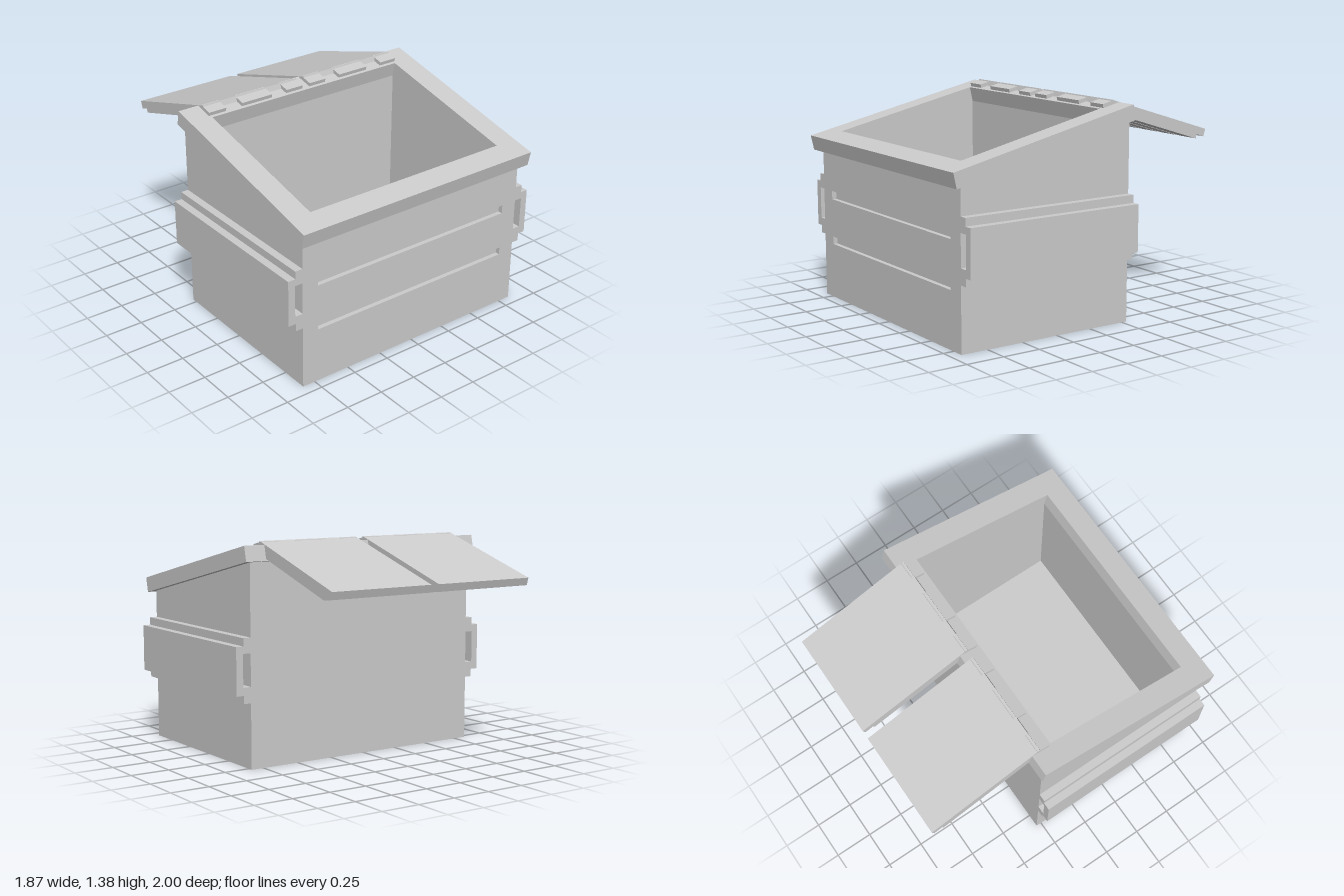
import * as THREE from 'three';

const material = new THREE.MeshStandardMaterial({ color: 0xcccccc, flatShading: true });

function add(parent, name, geometry) {
  const mesh = new THREE.Mesh(geometry, material);
  mesh.name = name;
  parent.add(mesh);
  return mesh;
}

function box(parent, name, x0, x1, y0, y1, z0, z1) {
  const mesh = add(parent, name, new THREE.BoxGeometry(x1 - x0, y1 - y0, z1 - z0));
  mesh.position.set((x0 + x1) / 2, (y0 + y1) / 2, (z0 + z1) / 2);
  return mesh;
}

const outline = (points) => new THREE.Shape(points.map(([a, b]) => new THREE.Vector2(a, b)));
const extrude = (shape, depth) => new THREE.ExtrudeGeometry(shape, { depth, bevelEnabled: false });

// Extrudes a side profile of [z, y] points from x0 to x1
function sideProfile(points, x0, x1) {
  const geometry = extrude(outline(points.map(([z, y]) => [-z, y])), x1 - x0);
  return geometry.rotateY(Math.PI / 2).translate(x0, 0, 0);
}

const FRONT = 0.93, BACK = -0.285, HALF = 0.835, INNER = 0.725;
const TILT = 0.222;
const wallTop = (z) => 0.985 + (0.98 - z) * Math.tan(TILT);

export function createModel() {
  const group = new THREE.Group();

  // Front wall with two grooves, floor and back wall as one U-shaped section
  const groove = FRONT - 0.03;
  add(group, 'tub', sideProfile([
    [BACK, 0], [FRONT, 0],
    [FRONT, 0.36], [groove, 0.36], [groove, 0.41], [FRONT, 0.41],
    [FRONT, 0.66], [groove, 0.66], [groove, 0.715], [FRONT, 0.715],
    [FRONT, wallTop(FRONT)], [0.835, wallTop(0.835)],
    [0.835, 0.1], [-0.17, 0.1], [-0.17, wallTop(-0.17)], [BACK, wallTop(BACK)],
  ], -INNER, INNER));

  // Side walls and the stepped fork pockets on them
  const wall = [[BACK, 0], [FRONT, 0], [FRONT, wallTop(FRONT)], [BACK, wallTop(BACK)]];
  const pocket = [
    [0.83, 0.41], [0.885, 0.41], [0.885, 0.46], [0.935, 0.46], [0.935, 0.76],
    [0.885, 0.76], [0.885, 0.81], [0.83, 0.81], [0.83, 0.715],
    [0.888, 0.715], [0.888, 0.51], [0.83, 0.51],
  ];
  for (const [side, s] of [['left', 1], ['right', -1]]) {
    const x0 = s > 0 ? INNER : -HALF;
    add(group, side + 'Wall', sideProfile(wall, x0, x0 + HALF - INNER));
    const shape = outline(pocket.map(([x, y]) => [s * x, y]));
    add(group, side + 'ForkPocket', extrude(shape, FRONT - BACK)).position.z = BACK;
  }

  // Sloping rim; local y runs up the slope and local z points out of it
  const rim = new THREE.Group();
  rim.name = 'rim';
  rim.position.set(0, 0.975, 0.978);
  rim.rotation.x = TILT - Math.PI / 2;
  group.add(rim);
  const frame = outline([[-0.873, 0], [0.873, 0], [0.873, 1.317], [-0.873, 1.317]]);
  frame.holes.push(outline([[-0.72, 0.152], [-0.72, 1.174], [0.72, 1.174], [0.72, 0.152]]));
  add(rim, 'rimFrame', extrude(frame, 0.098));

  // Hinge tabs, three for each lid
  for (const s of [1, -1]) {
    for (const [a, b] of [[0.028, 0.153], [0.265, 0.49], [0.608, 0.733]]) {
      box(rim, 'hingeTab', Math.min(s * a, s * b), Math.max(s * a, s * b), 1.194, 1.285, 0.09, 0.122);
    }
  }

  // Two lids folded open behind the rim, with raised pads underneath
  const length = 0.807, inner = 0.028, outer = 0.733, pads = 4, gap = 0.03;
  const padWidth = (outer - inner - gap * (pads - 1)) / pads;
  for (const [side, s] of [['left', 1], ['right', -1]]) {
    const lid = new THREE.Group();
    lid.name = side + 'Lid';
    lid.position.set(0, 1.38, -0.23);
    lid.rotation.x = -0.302;
    group.add(lid);
    const mid = s * (inner + outer) / 2, half = (outer - inner) / 2;
    box(lid, 'lidPanel', mid - half, mid + half, -0.05, 0, -length, 0);
    for (let i = 0; i < pads; i++) {
      const x = mid - half + i * (padWidth + gap);
      box(lid, 'lidPad', x, x + padWidth, -0.077, -0.045, -length + 0.06, -0.02);
    }
  }
  return group;
}
